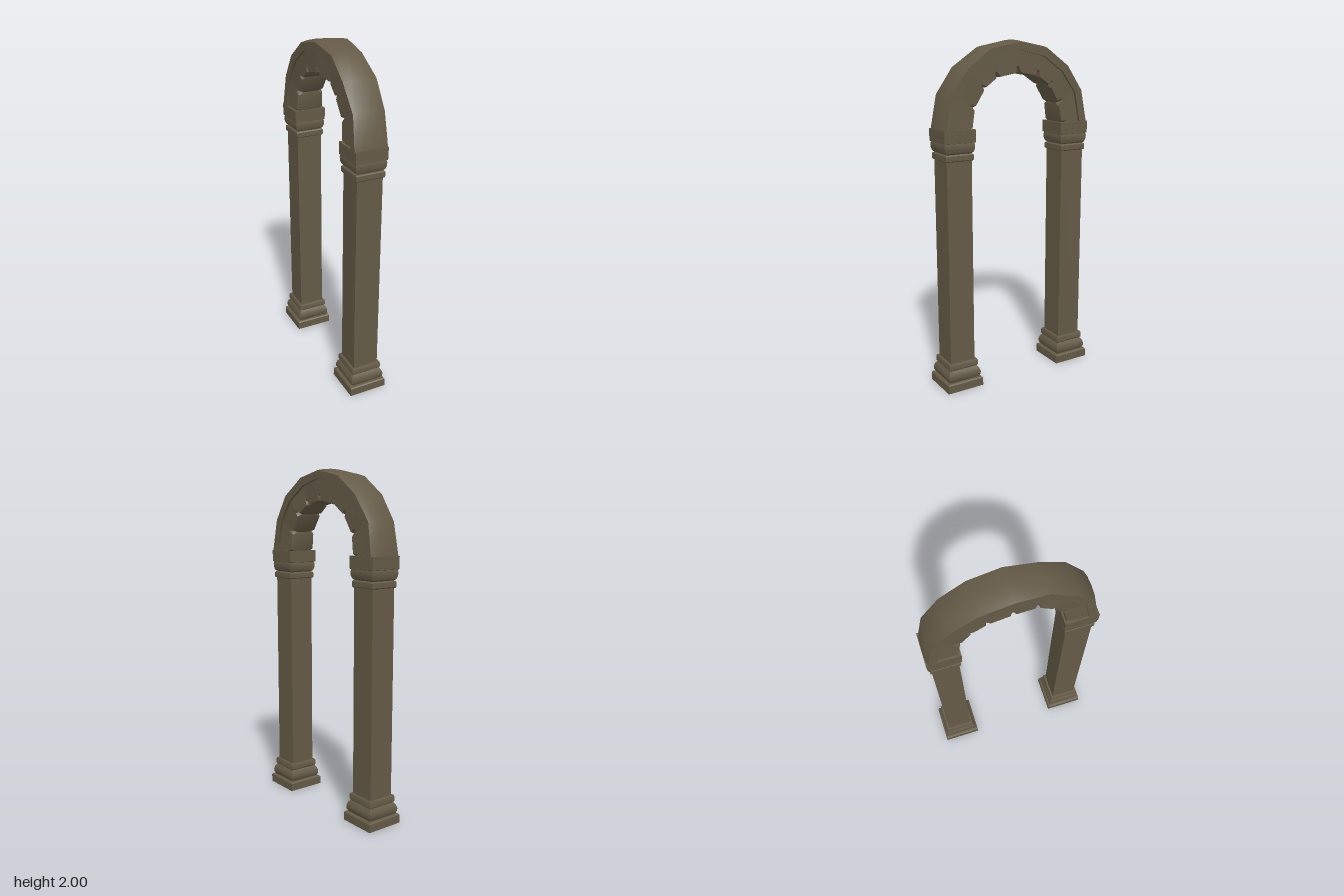
import * as THREE from 'three';
import { toCreasedNormals } from 'three/addons/utils/BufferGeometryUtils.js';

const stone = new THREE.MeshStandardMaterial({ color: 0x645a46 });
stone.name = 'brown stone';

// Closed loft through equal-length rings of Vector3
function loft(rings) {
  const n = rings[0].length, last = (rings.length - 1) * n, index = [];
  for (let s = 0; s < rings.length - 1; s++) {
    for (let j = 0; j < n; j++) {
      const a = s * n + j, b = s * n + (j + 1) % n;
      index.push(a, a + n, b, b, a + n, b + n);
    }
  }
  for (let j = 1; j < n - 1; j++) {
    index.push(0, j, j + 1, last, last + j + 1, last + j);
  }
  const g = new THREE.BufferGeometry().setFromPoints(rings.flat());
  g.setIndex(index);
  return toCreasedNormals(g, 0.55);
}

function addMesh(parent, name, geometry) {
  const mesh = new THREE.Mesh(geometry, stone);
  mesh.name = name;
  parent.add(mesh);
  return mesh;
}

// Square moulding: a four-sided lathe from [half width, height] pairs
function squareLathe(profile) {
  const pts = profile.map(([h, y]) => new THREE.Vector2(h * Math.SQRT2, y));
  return toCreasedNormals(new THREE.LatheGeometry(pts, 4, Math.PI / 4), 0.55);
}

// Mirrors half an arch curve of [z, y] points from springing to crown
const fullArch = half => [...half, ...half.slice(0, -1).reverse().map(([z, y]) => [-z, y])];

const outer = fullArch([[0.476, 1.52], [0.442, 1.71], [0.335, 1.86], [0.185, 1.965], [0, 2]]);
const middle = fullArch([[0.418, 1.52], [0.385, 1.7], [0.29, 1.82], [0.16, 1.91], [0, 1.945]]);
const inner = fullArch([[0.296, 1.52], [0.275, 1.637], [0.212, 1.742], [0.13, 1.797], [0, 1.82]]);
const widths = [0.098, 0.091, 0.097, 0.088, 0.098, 0.098, 0.097, 0.091, 0.098];

const mix = THREE.MathUtils.lerp;
// Point at half-width x, a fraction t of the way from curve point p to q
const between = (x, t, p, q) => new THREE.Vector3(x, mix(p[1], q[1], t), mix(p[0], q[0], t));
const along = (curve, i, s) => [0, 1].map(k => mix(curve[i][k], curve[i + 1][k], s));

export function createModel() {
  const model = new THREE.Group();
  model.name = 'archway';

  const base = squareLathe([
    [0, 0], [0.114, 0], [0.114, 0.047], [0.108, 0.053], [0.094, 0.054], [0.103, 0.07],
    [0.104, 0.088], [0.098, 0.108], [0.087, 0.124], [0.088, 0.127], [0.092, 0.131],
    [0.092, 0.158], [0.088, 0.166], [0, 0.166]]);
  const shaft = squareLathe([[0.077, 0.16], [0.077, 1.36]]);
  const capital = squareLathe([
    [0, 1.354], [0.082, 1.354], [0.086, 1.359], [0.086, 1.386], [0.082, 1.392], [0.075, 1.394],
    [0.085, 1.402], [0.091, 1.42], [0.092, 1.44], [0.089, 1.453], [0.095, 1.455],
    [0.096, 1.525], [0, 1.525]]);

  // Two square columns
  for (const side of [1, -1]) {
    const column = new THREE.Group();
    column.name = side > 0 ? 'frontColumn' : 'backColumn';
    column.position.z = side * 0.38;
    addMesh(column, 'base', base);
    addMesh(column, 'shaft', shaft);
    addMesh(column, 'capital', capital);
    model.add(column);
  }

  const arch = new THREE.Group();
  arch.name = 'arch';
  model.add(arch);

  // Projecting outer rim with a slightly crowned back
  addMesh(arch, 'archRim', loft(outer.map((o, i) => {
    const w = widths[i], m = middle[i];
    return [[-w, 0], [w, 0], [w, 0.8], [0.6 * w, 0.95], [0, 1], [-0.6 * w, 0.95], [-w, 0.8]]
      .map(([x, t]) => between(x, t, m, o));
  })));

  // Recessed stone blocks with corners worn away at the joints
  for (let i = 0; i < outer.length - 1; i++) {
    const rings = [0, 0.12, 0.88, 1].map(s => {
      const p = along(inner, i, s), q = along(middle, i, s);
      const w = mix(widths[i], widths[i + 1], s) - 0.015;
      const worn = s === 0 || s === 1;
      const x = worn ? w - 0.016 : w, t = worn ? 0.16 : 0.03;
      return [[-x + 0.012, worn ? 0.03 : 0], [x - 0.012, worn ? 0.03 : 0], [x, t], [w, 0.3],
        [w, 1.1], [-w, 1.1], [-w, 0.3], [-x, t]].map(([a, b]) => between(a, b, p, q));
    });
    addMesh(arch, 'archBlock' + (i + 1), loft(rings));
  }
  return model;
}
